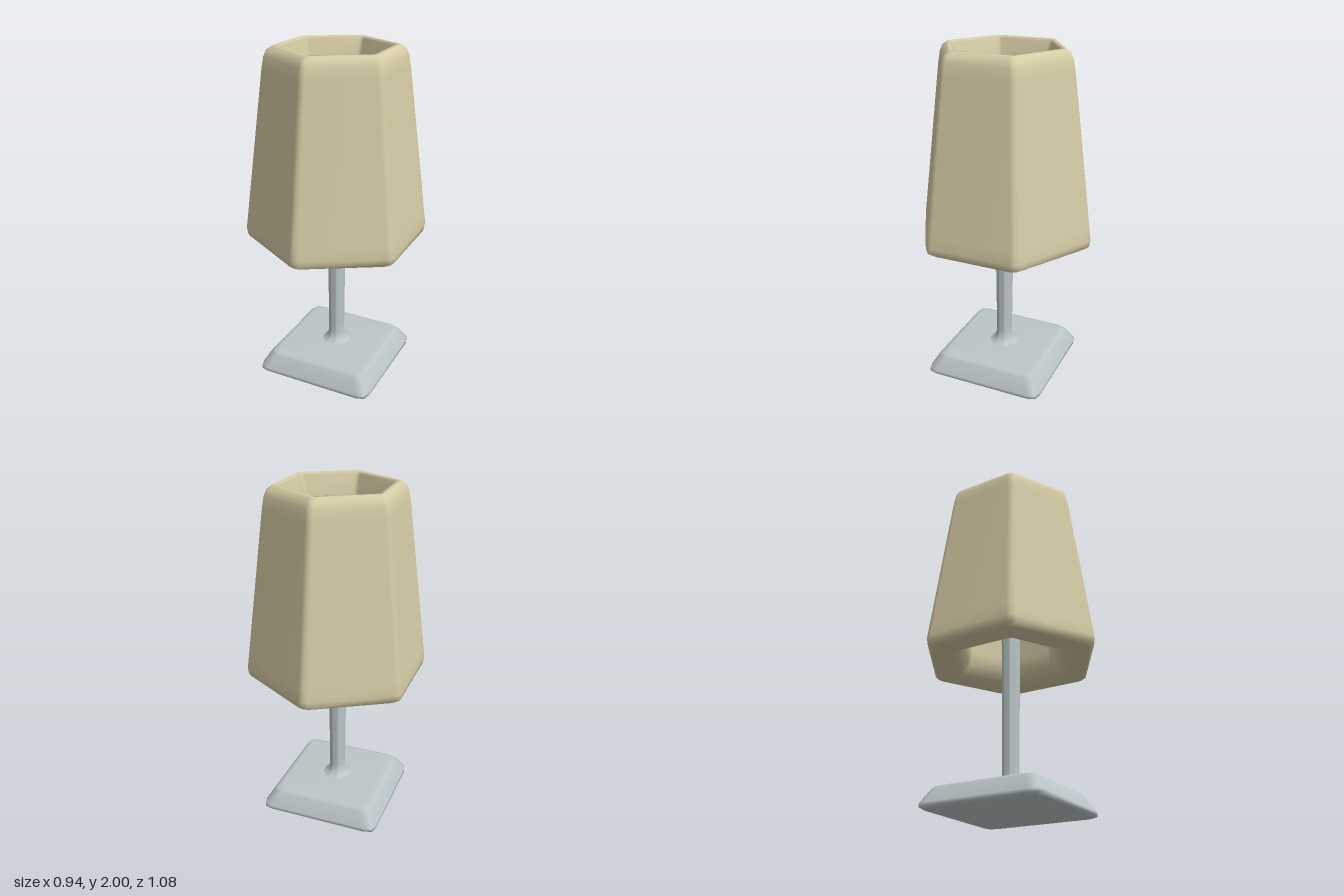
import * as THREE from 'three';

const fabric = new THREE.MeshStandardMaterial({ color: 0xd6cca6 });
fabric.name = 'beigeShade';
const metal = new THREE.MeshStandardMaterial({ color: 0xbcc6c8 });
metal.name = 'paleMetal';

// Unit polygon outline, each corner replaced by a small rounded arc
function polygon(sides, offset, round) {
  const pts = [];
  for (let i = 0; i < sides; i++) {
    const a = offset + (i / sides) * Math.PI * 2;
    for (const [t, s] of [[-round, 1], [0, 1], [round, 1]]) {
      const half = Math.PI / sides;
      // side points stay on the straight edges, the middle is pulled in
      const edge = Math.cos(half) / Math.cos(half - Math.abs(t));
      const r = t === 0 ? s * (1 + Math.cos(half) / Math.cos(half - round)) / 2 : edge;
      pts.push([Math.sin(a + t) * r, Math.cos(a + t) * r]);
    }
  }
  return pts;
}

// Skin an outline through a profile of [radius, height] rings
function loft(name, outline, profile, material) {
  const n = outline.length, pos = [], idx = [];
  for (const [r, y] of profile) for (const [x, z] of outline) pos.push(x * r, y, z * r);
  for (let i = 0; i < profile.length - 1; i++) {
    for (let j = 0; j < n; j++) {
      const k = (j + 1) % n;
      const a = i * n + j, b = i * n + k, c = b + n, d = a + n;
      if (profile[i][0] > 0) idx.push(a, b, c);
      if (profile[i + 1][0] > 0) idx.push(a, c, d);
      else if (profile[i][0] > 0) idx.push(b, d, c);
    }
  }
  const g = new THREE.BufferGeometry();
  g.setAttribute('position', new THREE.Float32BufferAttribute(pos, 3));
  g.setIndex(idx);
  g.computeVertexNormals();
  const mesh = new THREE.Mesh(g, material);
  mesh.name = name;
  return mesh;
}

export function createModel() {
  const model = new THREE.Group();
  model.name = 'tableLamp';

  // Thick hexagonal shade: outside, top rim, inside, bottom rim
  const hex = polygon(6, 0, 0.05);
  model.add(loft('shade', hex, [
    [0.41, 0.87], [0.51, 0.872], [0.538, 0.89], [0.545, 0.93], [0.535, 1.0],
    [0.415, 1.88], [0.402, 1.945], [0.385, 1.98], [0.355, 1.998],
    [0.355, 2], [0.33, 2], [0.33, 1.985],
    [0.305, 1.92], [0.283, 1.8], [0.283, 1.02], [0.3, 0.94], [0.345, 0.885], [0.41, 0.87],
  ], fabric));

  // Square base with sloping, softened sides
  const q = Math.SQRT2;
  const square = polygon(4, Math.PI / 4, 0.09);
  model.add(loft('base', square, [
    [0, 0], [0.35 * q, 0], [0.35 * q, 0], [0.367 * q, 0.01], [0.366 * q, 0.03],
    [0.32 * q, 0.108], [0.305 * q, 0.124], [0.28 * q, 0.13], [0.1 * q, 0.132], [0, 0.133],
  ], metal));

  // Slim octagonal stem with a flared foot
  const octagon = polygon(8, Math.PI / 8, 0.1);
  model.add(loft('stem', octagon, [
    [0.1, 0.128], [0.075, 0.142], [0.057, 0.165], [0.049, 0.2], [0.049, 0.26],
    [0.055, 0.87], [0.057, 1.16], [0.05, 1.19], [0.05, 1.19], [0, 1.2],
  ], metal));

  return model;
}
